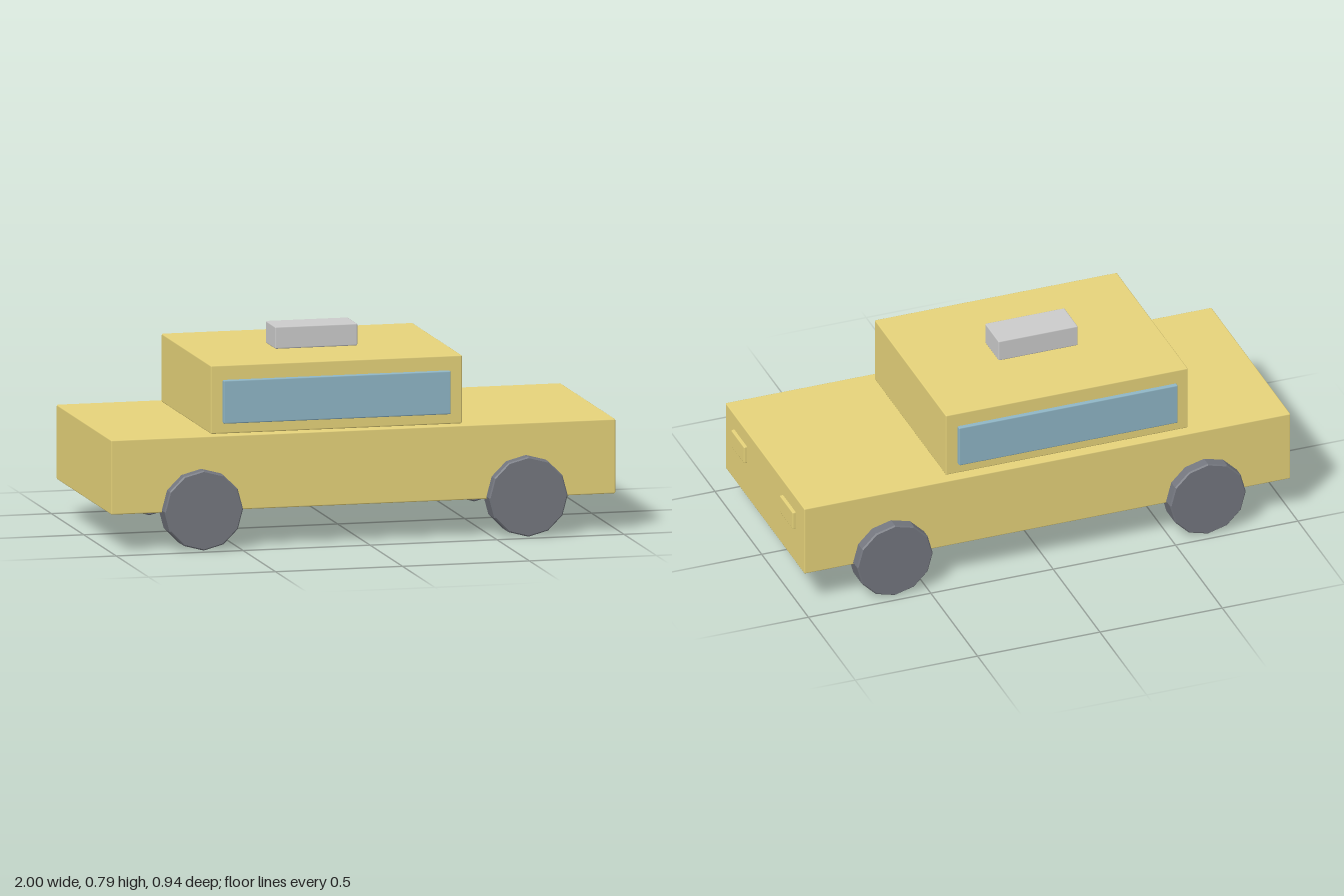
import * as THREE from 'three';
import { RoundedBoxGeometry } from 'three/addons/geometries/RoundedBoxGeometry.js';

const paint = new THREE.MeshStandardMaterial({ color: 0xe6d37a });
const glass = new THREE.MeshStandardMaterial({ color: 0x8fb6c6 });
const rubber = new THREE.MeshStandardMaterial({ color: 0x74777f });
rubber.flatShading = true;
const grey = new THREE.MeshStandardMaterial({ color: 0xcccccc });

const BEVEL = 0.005;

// Box with a tiny bevel, given by its [min, max] extents on each axis
function block(name, material, [x0, x1], [y0, y1], [z0, z1]) {
  const geometry = new RoundedBoxGeometry(x1 - x0, y1 - y0, z1 - z0, 1, BEVEL);
  const mesh = new THREE.Mesh(geometry, material);
  mesh.name = name;
  mesh.position.set((x0 + x1) / 2, (y0 + y1) / 2, (z0 + z1) / 2);
  return mesh;
}

// Twelve-sided disc with chamfered rims, axis along z
function wheelGeometry(radius, width) {
  const h = width / 2;
  const profile = [
    [0, -h], [radius - BEVEL, -h], [radius, -h + BEVEL],
    [radius, h - BEVEL], [radius - BEVEL, h], [0, h],
  ].map(([x, y]) => new THREE.Vector2(x, y));
  return new THREE.LatheGeometry(profile, 12).rotateX(Math.PI / 2);
}

export function createModel() {
  const car = new THREE.Group();
  car.name = 'car';

  // Body, cabin and roof sign
  car.add(
    block('body', paint, [-1, 0.987], [0.146, 0.435], [-0.423, 0.423]),
    block('cabin', paint, [-0.597, 0.393], [0.435, 0.70], [-0.381, 0.381]),
    block('roofSign', grey, [-0.265, 0.06], [0.70, 0.786], [-0.073, 0.073]),
  );

  // Side windows, headlights and wheels, mirrored across z
  const wheel = wheelGeometry(0.155, 0.102);
  for (const side of [1, -1]) {
    const span = (a, b) => (side > 0 ? [a, b] : [-b, -a]);
    car.add(
      block('sideWindow', glass, [-0.55, 0.345], [0.475, 0.643], span(0.37, 0.397)),
      block('headlight', paint, [0.97, 1], [0.296, 0.37], span(0.19, 0.331)),
    );
    for (const [name, x] of [['rearWheel', -0.646], ['frontWheel', 0.633]]) {
      const mesh = new THREE.Mesh(wheel, rubber);
      mesh.name = name;
      mesh.position.set(x, 0.155, side * 0.417);
      car.add(mesh);
    }
  }
  return car;
}
